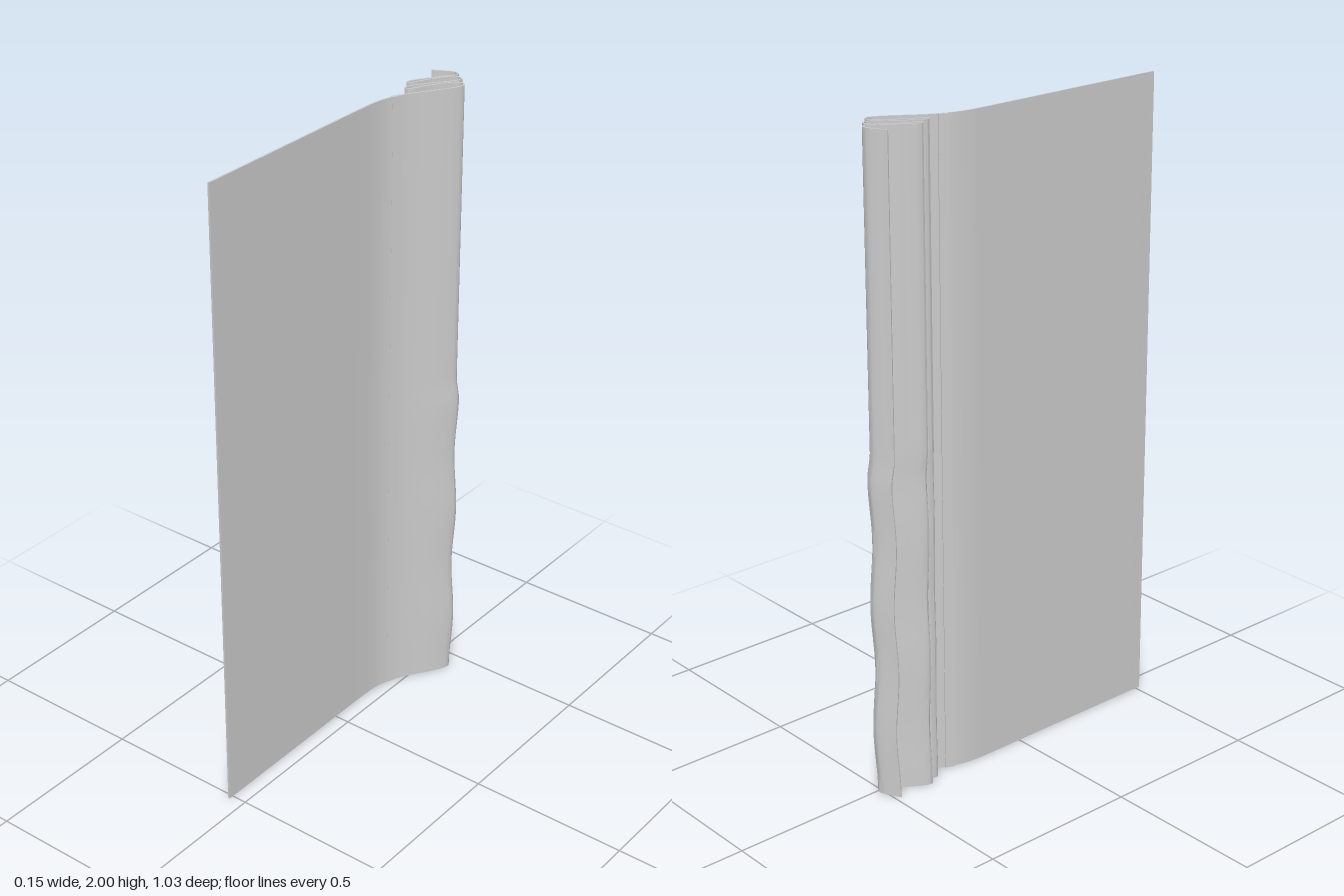
import * as THREE from 'three';
import { toCreasedNormals } from 'three/addons/utils/BufferGeometryUtils.js';

const HEIGHT = 2;
const material = new THREE.MeshStandardMaterial({ color: 0xcccccc });

// Gathered folds sway gently in the lower half
function sway(z, y) {
  const fold = THREE.MathUtils.smoothstep(-z, 0.28, 0.42);
  const low = 1 - THREE.MathUtils.smoothstep(y, 0.98, 1.07);
  return fold * low * (0.003 + 0.0035 * Math.cos((Math.PI * 2 * (y - 1)) / 0.4));
}

// Row heights: one long panel above, closely spaced rows below
const heights = [];
for (let i = 0; i <= 44; i++) heights.push((i / 44) * 1.1);
heights.push(HEIGHT);

// Upright cloth of a given thickness following a plan-view path of [x, z]
function cloth(name, path, thickness, steps) {
  const curve = new THREE.CatmullRomCurve3(path.map(([x, z]) => new THREE.Vector3(x, 0, z)));
  const n = steps * (path.length - 1);
  const inner = [], outer = [];
  for (let i = 0; i <= n; i++) {
    const p = curve.getPoint(i / n), t = curve.getTangent(i / n);
    const h = thickness / 2;
    outer.push([p.x + t.z * h, p.z - t.x * h]);
    inner.push([p.x - t.z * h, p.z + t.x * h]);
  }
  const ring = [...inner, ...outer.slice().reverse()];
  const pos = [];
  const at = ([x, z], y) => [x + sway(z, y), y, z - sway(z, y)];
  const quad = (a, b, c, d) => pos.push(...a, ...b, ...c, ...a, ...c, ...d);

  // Side walls
  for (let r = 0; r < heights.length - 1; r++) {
    const y0 = heights[r], y1 = heights[r + 1];
    ring.forEach((p, i) => {
      const q = ring[(i + 1) % ring.length];
      quad(at(p, y0), at(q, y0), at(q, y1), at(p, y1));
    });
  }
  // Top and bottom edges
  for (let i = 0; i < n; i++) {
    const a = inner[i], b = inner[i + 1], c = outer[i + 1], d = outer[i];
    quad(at(a, HEIGHT), at(b, HEIGHT), at(c, HEIGHT), at(d, HEIGHT));
    quad(at(d, 0), at(c, 0), at(b, 0), at(a, 0));
  }
  const geometry = new THREE.BufferGeometry();
  geometry.setAttribute('position', new THREE.Float32BufferAttribute(pos, 3));
  const mesh = new THREE.Mesh(toCreasedNormals(geometry, 0.9), material);
  mesh.name = name;
  return mesh;
}

export function createModel() {
  const group = new THREE.Group();
  group.name = 'curtain';

  // Flat panel, curved shoulder, then three gathered pleats and a loose tail
  group.add(cloth('curtainPanel', [
    [-0.05, 0.515], [-0.05, 0.15], [-0.05, -0.14], [-0.048, -0.185], [-0.04, -0.23],
    [-0.021, -0.28], [0.005, -0.325], [0.043, -0.382], [0.064, -0.42],
    [0.069, -0.438], [0.063, -0.45], [0.049, -0.453], [0.03, -0.437],
    [-0.012, -0.372], [-0.034, -0.328], [-0.047, -0.323], [-0.05, -0.335],
    [-0.012, -0.4], [0.03, -0.455], [0.036, -0.477], [0.022, -0.486], [0.003, -0.476],
    [-0.034, -0.42], [-0.06, -0.367], [-0.07, -0.363], [-0.07, -0.375],
    [-0.04, -0.428], [0.002, -0.488], [0.006, -0.502], [-0.01, -0.51], [-0.072, -0.482],
  ], 0.005, 6));

  // Seam band where the gather begins, on the back of the cloth
  group.add(cloth('seamBand', [[-0.037, -0.247], [-0.026, -0.274]], 0.01, 1));

  // Narrow hem on the back of the leading edge
  group.add(cloth('edgeHem', [[-0.0525, 0.515], [-0.0525, 0.485]], 0.002, 1));

  return group;
}
